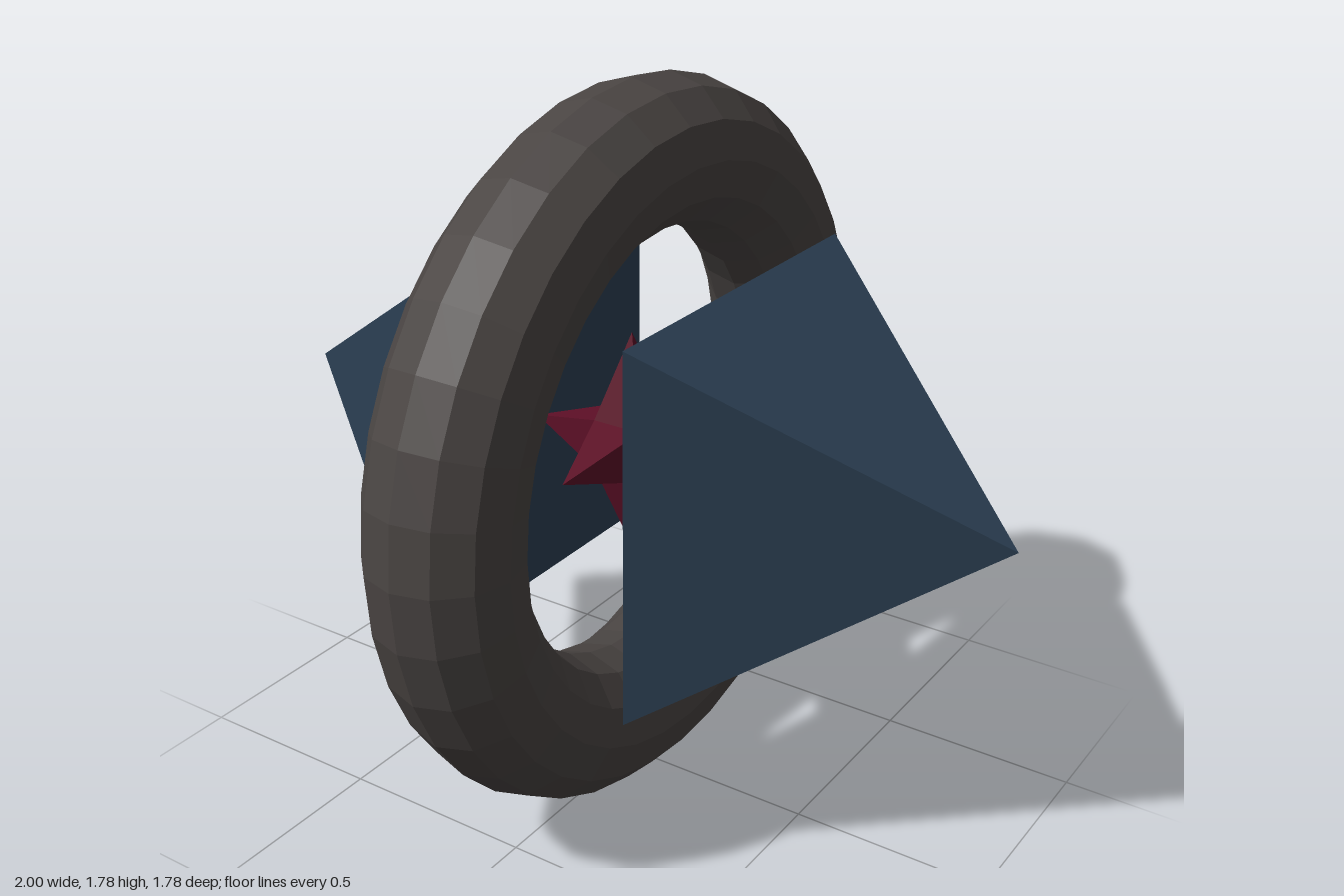
import * as THREE from 'three';

const CENTER_Y = 0.893;

function flatMaterial(name, color) {
  const m = new THREE.MeshStandardMaterial({ color, flatShading: true });
  m.name = name;
  return m;
}

// Square pyramid pointing along +y, sides aligned to x and z, base at y = base
function pyramid(half, base, tip, open) {
  const height = tip - base;
  const g = new THREE.ConeGeometry(half * Math.SQRT2, height, 4, 1, open);
  g.rotateY(Math.PI / 4);
  g.translate(0, base + height / 2, 0);
  return g;
}

export function createModel() {
  const model = new THREE.Group();
  model.name = 'ringShip';
  const hull = flatMaterial('dark grey', 0x4a4543);
  const wing = flatMaterial('slate blue', 0x2c4054);
  const core = flatMaterial('deep red', 0x5c0f26);

  const body = new THREE.Group();
  body.name = 'body';
  body.position.y = CENTER_Y;
  model.add(body);

  const add = (name, geometry, material, parent = body) => {
    const mesh = new THREE.Mesh(geometry, material);
    mesh.name = name;
    parent.add(mesh);
    return mesh;
  };

  // Upright ring around the x axis
  const ring = new THREE.TorusGeometry(0.7115, 0.1785, 12, 36);
  ring.rotateY(Math.PI / 2);
  add('ring', ring, hull);

  // Side pyramids, pointing outwards
  for (const [name, side] of [['leftPyramid', 1], ['rightPyramid', -1]]) {
    const g = pyramid(0.455, 0.285, 1, false);
    g.rotateZ(-side * Math.PI / 2);
    add(name, g, wing);
  }

  // Six-pointed star core: one open spike on each face of a small cube
  const star = new THREE.Group();
  star.name = 'starCore';
  body.add(star);
  const turns = [
    ['topSpike', 0, 0], ['bottomSpike', Math.PI, 0],
    ['frontSpike', Math.PI / 2, 0], ['backSpike', -Math.PI / 2, 0],
    ['leftSpike', 0, -Math.PI / 2], ['rightSpike', 0, Math.PI / 2],
  ];
  for (const [name, rx, rz] of turns) {
    const spike = add(name, pyramid(0.065, 0.065, 0.285, true), core, star);
    spike.rotation.set(rx, 0, rz);
  }

  return model;
}
